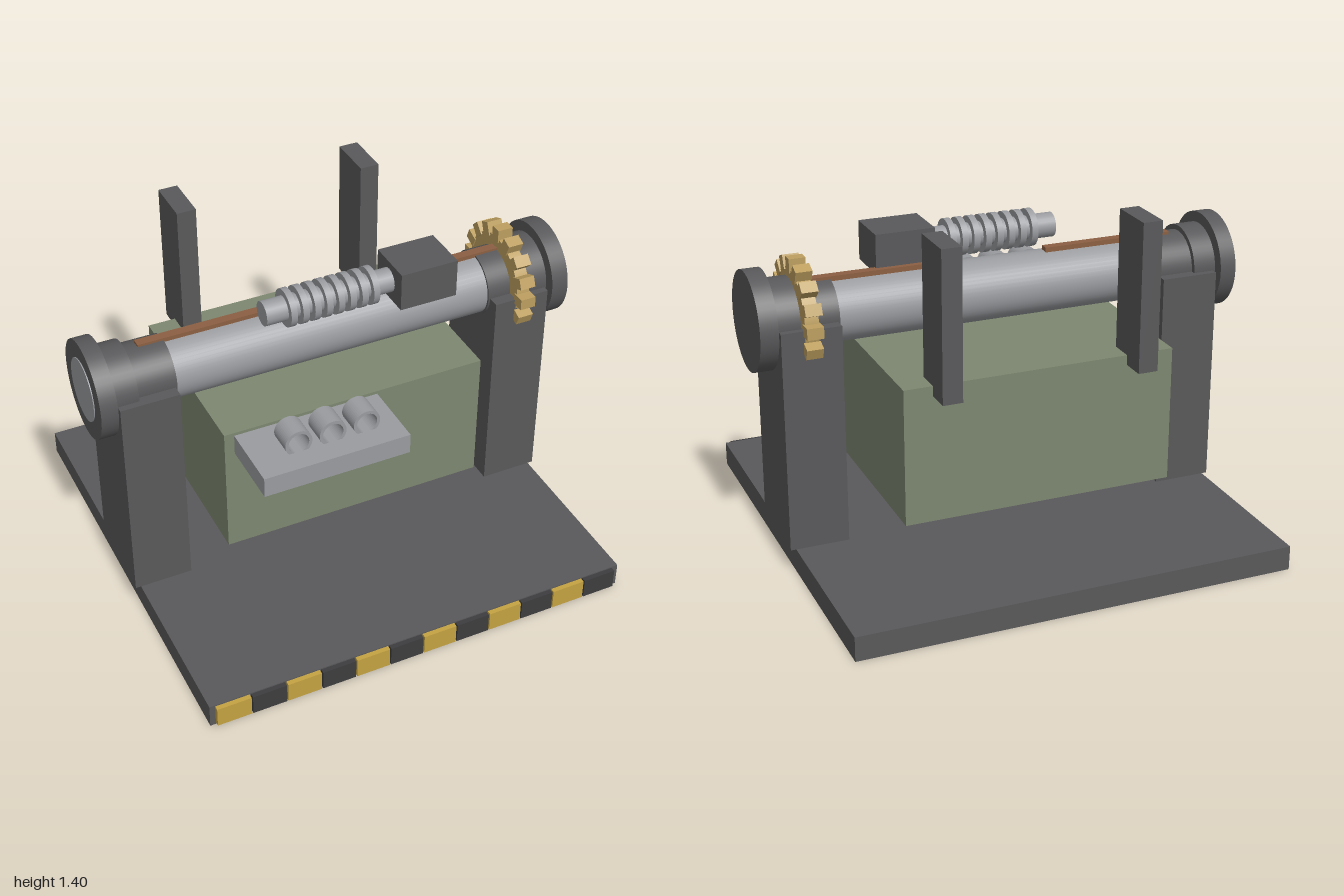
import * as THREE from 'three';

const mat = (name, color) => {
  const m = new THREE.MeshStandardMaterial({ color });
  m.name = name;
  return m;
};

export function createModel() {
  const dark = mat('dark grey paint', 0x59595b);
  const steel = mat('steel', 0x9a9ca0);
  const green = mat('green housing', 0x7d8770);
  const brass = mat('brass', 0xbd9f60);
  const copper = mat('copper', 0x8c6042);
  const yellow = mat('hazard yellow', 0xc4a342);
  const black = mat('hazard black', 0x3d3d3f);

  const model = new THREE.Group();
  model.name = 'windingMachine';
  const AY = 1.003, AZ = -0.01; // height and depth of the main axis

  const add = (name, geo, material, parent = model) => {
    const mesh = new THREE.Mesh(geo, material);
    mesh.name = name;
    parent.add(mesh);
    return mesh;
  };
  // Box given by its limits on each axis
  const box = (name, material, [x0, x1], [y0, y1], [z0, z1]) => {
    const mesh = add(name, new THREE.BoxGeometry(x1 - x0, y1 - y0, z1 - z0), material);
    mesh.position.set((x0 + x1) / 2, (y0 + y1) / 2, (z0 + z1) / 2);
    return mesh;
  };
  // Cylinder lying along x
  const rod = (name, material, x0, x1, r, y = AY, z = AZ, sides = 48) => {
    const geo = new THREE.CylinderGeometry(r, r, x1 - x0, sides).rotateZ(Math.PI / 2);
    const mesh = add(name, geo, material);
    mesh.position.set((x0 + x1) / 2, y, z);
    return mesh;
  };

  // Base plate with hazard stripes along its front edge
  box('basePlate', dark, [-0.895, 0.895], [0, 0.1], [-0.905, 0.885]);
  for (let i = 0; i < 12; i++) {
    const x = -0.802 + i * 0.1455;
    box('hazardStripe', i % 2 ? black : yellow, [x - 0.07, x + 0.07], [0.01, 0.095], [0.885, 0.905]);
  }

  // Side posts, bearings and end discs
  for (const s of [-1, 1]) {
    const span = (a, b) => (s > 0 ? [a, b] : [-b, -a]);
    box('sidePost', dark, span(0.678, 0.917), [0.1, 1.0], [-0.19, 0.172]);
    rod('shaftCollar', dark, ...span(0.67, 0.83), 0.134);
    rod('bearing', dark, ...span(0.83, 0.925), 0.155);
    rod('endDisc', dark, ...span(0.928, s > 0 ? 1 : 0.996), 0.198);
  }

  // Main shaft, showing through the disc at one end
  rod('mainShaft', steel, -1, 0.95, 0.126);

  // Gear: rim and sixteen teeth
  const gear = new THREE.Group();
  gear.name = 'gear';
  gear.position.set(0.797, AY, AZ);
  model.add(gear);
  add('gearRim', new THREE.CylinderGeometry(0.188, 0.188, 0.055, 48).rotateZ(Math.PI / 2), brass, gear);
  for (let i = 0; i < 16; i++) {
    const geo = new THREE.BoxGeometry(0.066, 0.055, 0.046);
    geo.translate(0, 0.203, 0).rotateX((i * Math.PI) / 8);
    add('gearTooth', geo, brass, gear);
  }

  // Copper strips lying on the shaft
  box('copperStrip', copper, [-0.775, -0.225], [1.115, 1.146], [-0.036, 0.001]);
  box('copperStrip', copper, [0.22, 0.77], [1.115, 1.146], [-0.036, 0.001]);

  // Small motor with a finned rod
  box('motorBlock', dark, [0.236, 0.479], [1.12, 1.28], [-0.013, 0.19]);
  rod('finnedRod', steel, -0.302, 0.24, 0.05, 1.2, 0.085, 24);
  for (let i = 0; i < 8; i++) {
    const x = -0.2 + i * 0.0497;
    rod('rodFin', steel, x - 0.013, x + 0.013, 0.077, 1.2, 0.085, 32);
  }

  // Central housing and the two rear uprights
  box('housing', green, [-0.555, 0.553], [0.286, 0.84], [-0.507, 0.285]);
  for (const x of [-0.4, 0.397]) {
    box('rearUpright', dark, [x - 0.04, x + 0.04], [0.8, 1.4], [-0.607, -0.41]);
  }

  // Control panel with three hollow rings
  box('controlPanel', steel, [-0.54, 0.058], [0.8, 0.884], [0.35, 0.627]);
  const ring = new THREE.Shape().absarc(0, 0, 0.055, 0, Math.PI * 2);
  ring.holes.push(new THREE.Path().absarc(0, 0, 0.042, 0, Math.PI * 2, true));
  const ringGeo = new THREE.ExtrudeGeometry(ring, { depth: 0.1, bevelEnabled: false, curveSegments: 24 });
  for (const x of [-0.36, -0.22, -0.08]) {
    add('controlRing', ringGeo, steel).position.set(x, 0.923, 0.438);
  }

  return model;
}
